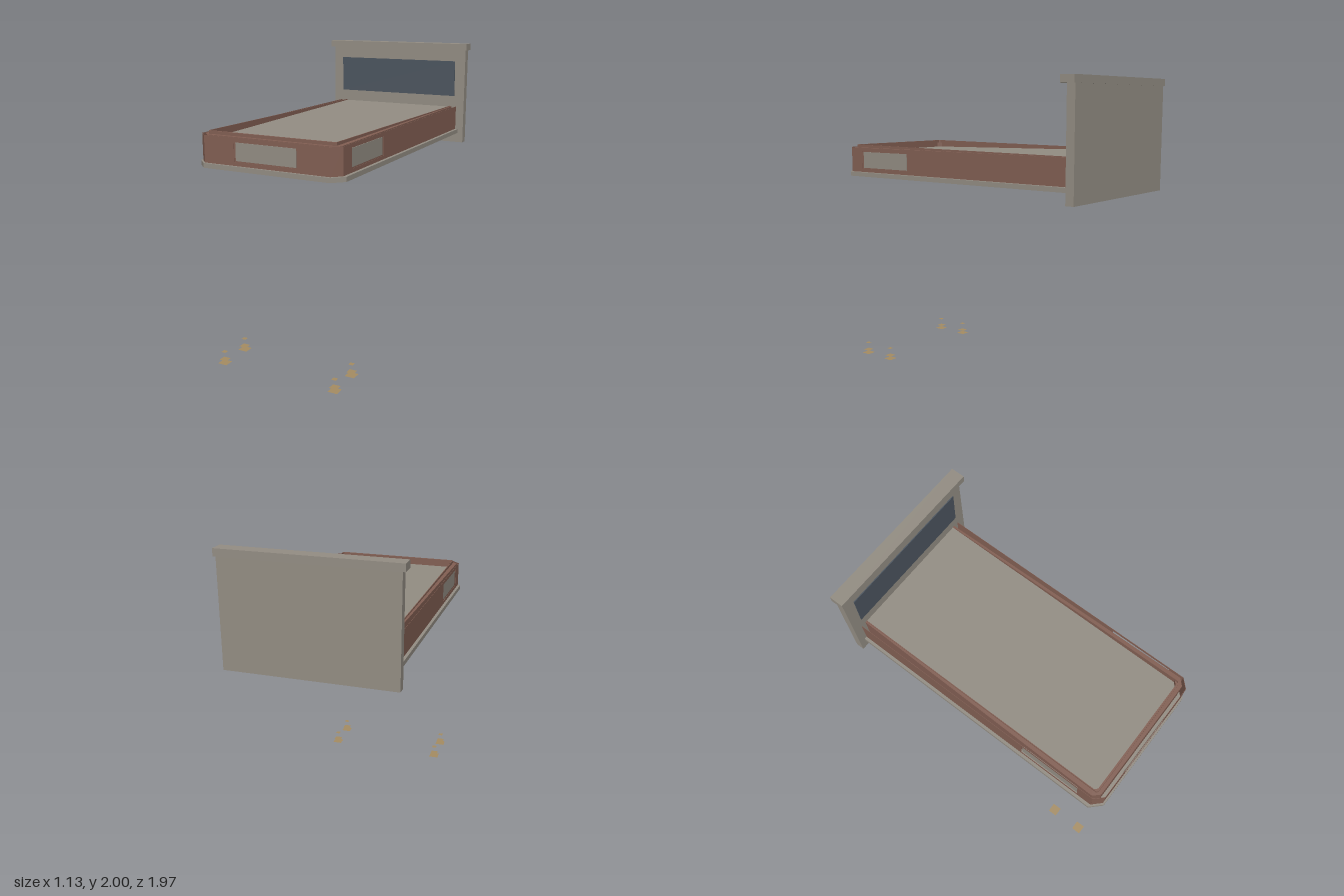
import * as THREE from 'three';

const mat = (name, color, side = THREE.FrontSide) => {
  const m = new THREE.MeshStandardMaterial({ color, side });
  m.name = name;
  return m;
};

export function createModel() {
  const gray = mat('warm gray', 0x938d83);
  const brown = mat('red brown', 0x825f53);
  const blue = mat('slate blue', 0x4d5660);
  const tan = mat('tan', 0xa58c62, THREE.DoubleSide);
  const bed = new THREE.Group();
  bed.name = 'bed';

  const add = (name, geometry, material, x = 0, y = 0, z = 0) => {
    const mesh = new THREE.Mesh(geometry, material);
    mesh.name = name;
    mesh.position.set(x, y, z);
    bed.add(mesh);
    return mesh;
  };
  const box = (name, material, x0, x1, y0, y1, z0, z1) =>
    add(name, new THREE.BoxGeometry(x1 - x0, y1 - y0, z1 - z0), material,
      (x0 + x1) / 2, (y0 + y1) / 2, (z0 + z1) / 2);

  // Plan outline open at the head, with clipped corners at the foot
  const BACK = -0.925;
  const outline = (x, z, c) => [
    [-x, BACK], [-x, z - c], [-x + c, z], [x - c, z], [x, z - c], [x, BACK],
  ];
  // Upright U-shaped wall between two outlines
  const wall = (name, material, outer, inner, y0, y1, rule) => {
    const pts = [...outline(...outer), ...outline(...inner).reverse()];
    const shape = new THREE.Shape(pts.map(([x, z]) => new THREE.Vector2(x, z)));
    const g = new THREE.ExtrudeGeometry(shape, { depth: y1 - y0, bevelEnabled: false });
    g.rotateX(Math.PI / 2).translate(0, y1, 0);
    if (rule) {
      const p = g.attributes.position;
      const v = new THREE.Vector3();
      for (let i = 0; i < p.count; i++) {
        rule(v.fromBufferAttribute(p, i));
        p.setXYZ(i, v.x, v.y, v.z);
      }
      g.computeVertexNormals();
    }
    return add(name, g, material);
  };

  // Base ledge, inner wall narrowing toward the head, and raised lip
  wall('baseLedge', gray, [0.507, 0.982, 0.07], [0.445, 0.91, 0.03], 1.33, 1.36);
  wall('innerWall', brown, [0.474, 0.94, 0.04], [0.44, 0.905, 0.025], 1.332, 1.53, (v) => {
    if (v.z < 0 && Math.abs(v.x) > 0.46) v.x = Math.sign(v.x) * 0.452;
  });
  wall('raisedLip', brown, [0.443, 0.917, 0.01], [0.438, 0.905, 0.008], 1.52, 1.55, (v) => {
    if (v.z < 0 && v.y > 1.54) v.y = 1.534;
  });

  // Thin outer skin panels, some with an opening that holds a recessed plaque
  const rect = (Type, x, w, h) => new Type([
    [-w / 2, -h / 2], [w / 2, -h / 2], [w / 2, h / 2], [-w / 2, h / 2],
  ].map(([a, b]) => new THREE.Vector2(x + a, b)));
  const skin = (width, x, z, turn, openX = 0, openWidth = 0) => {
    const group = new THREE.Group();
    group.name = 'skinPanel';
    const shape = rect(THREE.Shape, 0, width, 0.17);
    if (openWidth) {
      shape.holes.push(rect(THREE.Path, openX, openWidth, 0.124));
      const plaque = new THREE.Mesh(new THREE.BoxGeometry(openWidth - 0.016, 0.112, 0.004), gray);
      plaque.name = 'plaque';
      plaque.position.set(openX, 0, -0.008);
      group.add(plaque);
    }
    const g = new THREE.ExtrudeGeometry(shape, { depth: 0.002, bevelEnabled: false });
    const panel = new THREE.Mesh(g.translate(0, 0, -0.002), brown);
    panel.name = 'skin';
    group.add(panel);
    group.position.set(x, 1.446, z);
    group.rotation.y = turn;
    bed.add(group);
  };
  skin(0.866, 0, 0.97, 0, 0, 0.434);
  for (const s of [-1, 1]) {
    skin(0.078, s * 0.4605, 0.9425, s * Math.PI / 4);
    skin(1.84, s * 0.488, -0.005, s * Math.PI / 2, -s * 0.598, 0.434);
  }

  // Sleeping surface over its platform, sinking slightly toward the foot
  const platform = box('platform', brown, -0.44, 0.44, 1.49, 1.505, BACK, 0.905);
  const mattress = box('mattressTop', gray, -0.439, 0.439, 1.505, 1.513, BACK, 0.905);
  platform.rotation.x = mattress.rotation.x = 0.016;

  // Cross slats under the platform
  for (const z of [0.88, 0.66, 0.38, -0.17]) {
    box('slat', gray, -0.44, 0.44, 1.425, 1.448, z - 0.012, z + 0.012);
  }

  // Headboard with top cap and tilted inset panel
  box('headboard', gray, -0.548, 0.548, 1.26, 1.955, -0.982, -0.926);
  box('headboardCap', gray, -0.565, 0.565, 1.953, 2, -0.985, -0.892);
  const inset = box('headboardPanel', blue, -0.472, 0.472, 1.61, 1.87, -0.923, -0.917);
  inset.rotation.x = 0.03;

  // Foot pads: stacked flat plates in pairs below the foot end
  for (const x of [-0.41, 0.41]) {
    for (const z of [0.88, 0.652]) {
      for (const [size, y] of [[0.066, 0], [0.052, 0.024], [0.032, 0.077]]) {
        add('footPad', new THREE.PlaneGeometry(size, size).rotateX(-Math.PI / 2), tan, x, y, z);
      }
    }
  }
  return bed;
}
